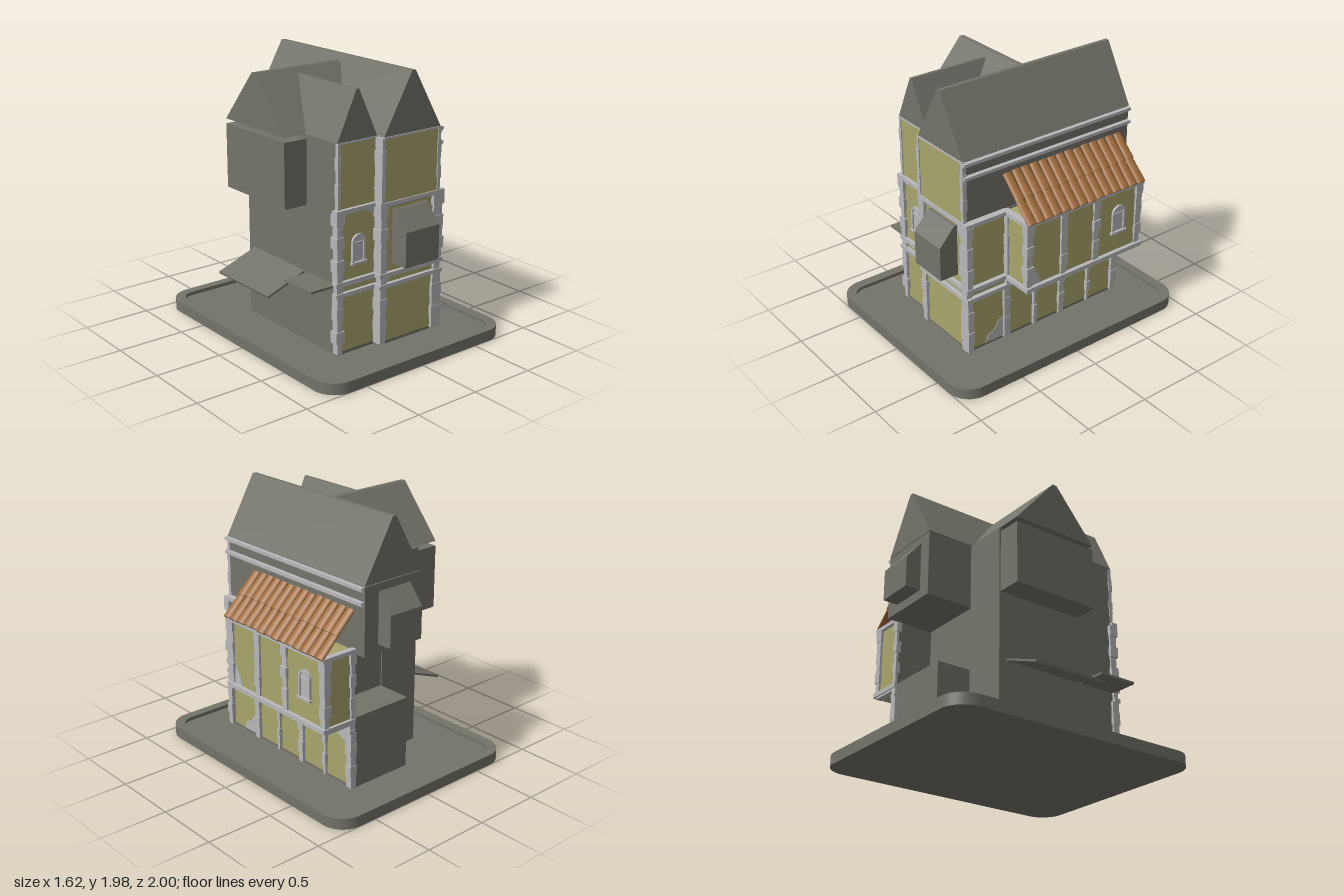
import * as THREE from 'three';

const mat = (name, color) => { const m = new THREE.MeshStandardMaterial({ color }); m.name = name; return m; };

export function createModel() {
  const stone = mat('dark stone', 0x74736a);
  const plaster = mat('plaster', 0xa9a56c);
  const trim = mat('pale trim', 0xb8b8ba);
  const tile = mat('clay tile', 0xa06c3c);
  const root = new THREE.Group();

  let seed = 7;
  const jitter = (a) => { seed = (seed * 16807) % 2147483647; return (seed / 2147483647 - 0.5) * 2 * a; };

  const add = (name, geo, m, parent = root) => {
    const mesh = new THREE.Mesh(geo, m);
    mesh.name = name;
    parent.add(mesh);
    return mesh;
  };
  // Box given by its limits on each axis
  const box = (name, m, x0, x1, y0, y1, z0, z1, parent = root) => {
    const mesh = add(name, new THREE.BoxGeometry(x1 - x0, y1 - y0, z1 - z0), m, parent);
    mesh.position.set((x0 + x1) / 2, (y0 + y1) / 2, (z0 + z1) / 2);
    return mesh;
  };
  const polygon = (pts) => new THREE.Shape(pts.map(([u, v]) => new THREE.Vector2(u, v)));
  const extrude = (shape, depth, curveSegments = 8) =>
    new THREE.ExtrudeGeometry(shape, { depth, bevelEnabled: false, curveSegments });
  // Profile in (x, y) swept along z, and profile in (z, y) swept along x
  const prismZ = (name, m, pts, z0, z1) => add(name, extrude(polygon(pts), z1 - z0).translate(0, 0, z0), m);
  const prismX = (name, m, pts, x0, x1) =>
    add(name, extrude(polygon(pts), x1 - x0).rotateY(-Math.PI / 2).translate(x1, 0, 0), m);

  // Base with a raised rim
  const rounded = (w, d, r, P = THREE.Shape) => {
    const s = new P();
    s.moveTo(-w + r, -d).lineTo(w - r, -d).absarc(w - r, -d + r, r, -Math.PI / 2, 0);
    s.lineTo(w, d - r).absarc(w - r, d - r, r, 0, Math.PI / 2);
    s.lineTo(-w + r, d).absarc(-w + r, d - r, r, Math.PI / 2, Math.PI);
    s.lineTo(-w, -d + r).absarc(-w + r, -d + r, r, Math.PI, Math.PI * 1.5);
    return s;
  };
  const rim = rounded(0.81, 1, 0.17);
  rim.holes.push(rounded(0.735, 0.93, 0.1, THREE.Path));
  add('baseFloor', extrude(rounded(0.81, 1, 0.17), 0.055).rotateX(-Math.PI / 2), stone);
  add('baseRim', extrude(rim, 0.027).rotateX(-Math.PI / 2).translate(0, 0.055, 0), stone);

  // Stone bodies
  box('mainHall', stone, -0.11, 0.41, 0.05, 1.1, -0.4, 0.66);
  box('rearGroundRoom', stone, -0.105, 0.41, 0.05, 0.59, -0.67, -0.4);
  box('mainUpperStorey', stone, -0.105, 0.4, 1.065, 1.555, -0.77, 0.68);
  box('leftWing', stone, -0.44, -0.105, 0.05, 1.555, -0.41, 0.608);
  box('crossWing', stone, -0.625, 0, 1.06, 1.525, -0.4, 0.28);

  // Gabled roofs with a narrow flat ridge
  const gable = (a, b, top, flat) => {
    const c = (a + b) / 2;
    return [[a, 1.56], [b, 1.56], [c + flat, top], [c - flat, top]];
  };
  prismZ('mainRoof', stone, gable(-0.105, 0.405, 1.98, 0.015), -0.77, 0.685);
  prismZ('leftWingRoof', stone, gable(-0.445, -0.105, 1.9, 0.011), -0.05, 0.615);
  prismX('crossRoof', stone, gable(-0.4, 0.28, 1.94, 0.017), -0.625, 0.1);

  // Projecting front and rear boxes with sloped tops
  prismX('frontOriel', stone, [[0.66, 0.65], [0.81, 0.65], [0.81, 0.905], [0.69, 1.04], [0.66, 1.04]], -0.005, 0.3);
  prismX('rearOriel', stone, [[-0.76, 1.13], [-0.885, 1.13], [-0.885, 1.36], [-0.77, 1.5], [-0.76, 1.5]], -0.005, 0.28);

  // Side awnings
  prismZ('slopedAwning', stone, [[-0.44, 0.56], [-0.44, 0.575], [-0.755, 0.458], [-0.75, 0.443]], -0.35, 0.25);
  box('flatAwning', stone, -0.655, -0.44, 0.56, 0.577, 0.3, 0.6);

  // Side bay
  box('sideBay', plaster, 0.405, 0.655, 0.565, 1.09, -0.67, 0.345);
  box('bayInnerWall', stone, 0.4, 0.405, 0.565, 1.09, -0.67, -0.4);

  // Plaster panels
  box('leftLowerPlaster', plaster, -0.43, -0.11, 0.08, 1.09, 0.605, 0.613);
  box('leftUpperPlaster', plaster, -0.43, -0.11, 1.09, 1.55, 0.605, 0.613);
  box('mainLowerPlaster', plaster, -0.1, 0.4, 0.08, 1.09, 0.659, 0.667);
  box('mainUpperPlaster', plaster, -0.1, 0.39, 1.09, 1.55, 0.677, 0.685);
  box('sideGroundPlaster', plaster, 0.408, 0.416, 0.08, 0.57, -0.665, 0.655);
  box('sideMiddlePlaster', plaster, 0.408, 0.416, 0.57, 1.09, 0.34, 0.655);

  // Posts of uneven stacked stones
  const post = (name, x0, x1, y0, y1, z0, z1, wobble = 0.008) => {
    const g = new THREE.Group();
    g.name = name;
    root.add(g);
    const n = Math.max(1, Math.round((y1 - y0) / 0.085));
    for (let i = 0; i < n; i++) {
      const e = (i % 2 ? 0.5 : -0.5) * wobble + jitter(wobble * 0.5), h = (y1 - y0) / n;
      box('postStone', trim, x0 - e, x1 + e, y0 + i * h, y0 + (i + 1) * h, z0 - e * 0.6, z1 + e * 0.6, g);
    }
  };
  for (const [y0, y1] of [[0.07, 0.49], [0.59, 1.08]]) {
    post('leftCornerPost', -0.46, -0.405, y0, y1, 0.575, 0.635);
    post('middlePost', -0.122, -0.068, y0, y1, 0.6, 0.688);
    post('rightCornerPost', 0.36, 0.447, y0, y1, 0.643, 0.69);
  }
  post('upperLeftPost', -0.445, -0.418, 1.1, 1.555, 0.59, 0.622, 0.004);
  post('upperMiddlePost', -0.122, -0.094, 1.1, 1.555, 0.6, 0.692, 0.004);
  post('upperRightPost', 0.382, 0.412, 1.1, 1.555, 0.66, 0.692, 0.004);
  for (const [z, w] of [[0.345, 0.026], [0.093, 0.013], [-0.155, 0.024], [-0.41, 0.012], [-0.663, 0.026]])
    post('sideGroundPost', 0.39, 0.44, 0.07, 0.49, z - w, z + w, 0.006);
  for (const z of [0.33, 0.03, -0.265, -0.66])
    post('bayPost', 0.62, 0.672, 0.59, 1.08, z - 0.027, z + 0.027, 0.007);
  post('bayInnerFrontPost', 0.41, 0.455, 0.59, 1.08, 0.325, 0.357, 0.006);
  post('bayInnerRearPost', 0.398, 0.44, 0.59, 1.08, -0.688, -0.655, 0.006);

  // Horizontal beams
  for (const [y0, y1] of [[0.488, 0.517], [0.565, 0.597], [1.075, 1.105]]) {
    box('leftFrontBeam', trim, -0.468, -0.1, y0, y1, 0.59, 0.64);
    box('mainFrontBeam', trim, -0.135, 0.45, y0, y1, 0.64, 0.695);
    box('mainSideBeam', trim, 0.4, 0.45, y0, y1, y0 < 0.5 ? -0.69 : 0.34, 0.69);
    if (y0 < 0.5) continue;
    box('baySideBeam', trim, 0.625, 0.685, y0, y1, -0.692, 0.368);
    box('bayFrontBeam', trim, 0.41, 0.68, y0, y1, 0.32, 0.368);
    box('bayRearBeam', trim, 0.4, 0.68, y0, y1, -0.692, -0.65);
  }
  for (const z of [0.33, 0.03, -0.265, -0.66]) {
    box('bayJoist', trim, 0.4, 0.66, 0.55, 0.58, z - 0.022, z + 0.022);
    box('joistBlock', trim, 0.4, 0.445, 0.517, 0.565, z - 0.025, z + 0.025);
  }
  for (const x of [-0.432, -0.095, 0.4])
    box('frontBeamBlock', trim, x - 0.025, x + 0.03, 0.517, 0.565, x < -0.4 ? 0.59 : 0.64, x < -0.4 ? 0.63 : 0.688);
  box('leftTopBand', trim, -0.44, -0.1, 1.548, 1.56, 0.6, 0.62);
  box('mainTopBand', trim, -0.105, 0.41, 1.548, 1.56, 0.67, 0.692);

  // Eave mouldings along the side
  for (const y of [1.42, 1.52]) {
    box('eaveMoulding', trim, 0.4, 0.432, y + 0.012, y + 0.032, -0.768, 0.69);
    box('eaveMouldingLip', trim, 0.4, 0.418, y, y + 0.012, -0.768, 0.69);
  }

  // Lean-to roof of rounded clay tiles, two courses per row
  const leanTo = new THREE.Group();
  leanTo.name = 'tileRoof';
  leanTo.position.set(0.552, 1.238, 0);
  leanTo.rotation.z = Math.atan2(0.28, 0.27);
  root.add(leanTo);
  for (let i = 0; i < 14; i++) {
    for (const s of [-1, 1]) {
      const t = add('roofTile', new THREE.CylinderGeometry(0.034, 0.038, 0.205, 12), tile, leanTo);
      t.scale.x = 0.5;
      t.position.set(s * 0.003, s * 0.093 + jitter(0.004), 0.332 - i * 0.0757);
      t.rotation.x = jitter(0.015);
    }
  }

  // Arched windows
  const arch = (w, h, P = THREE.Shape) => {
    const s = new P();
    s.moveTo(-w, 0).lineTo(w, 0).lineTo(w, h).absarc(0, h, w, 0, Math.PI).lineTo(-w, 0);
    return s;
  };
  const archWindow = (x, y, z, turn, k) => {
    const g = new THREE.Group();
    g.name = 'archedWindow';
    const frame = arch(0.058, 0.145);
    frame.holes.push(arch(0.042, 0.145, THREE.Path));
    add('windowFrame', extrude(frame, 0.018, 14), trim, g);
    add('windowPane', extrude(arch(0.044, 0.145), 0.006, 14), trim, g);
    box('windowBar', trim, -0.044, 0.044, 0.135, 0.147, 0, 0.014, g);
    box('windowSill', trim, -0.068, 0.068, -0.012, 0.004, 0, 0.026, g);
    g.position.set(x, y, z);
    g.rotation.y = turn;
    g.scale.set(k, k, 1);
    root.add(g);
  };
  archWindow(-0.265, 0.71, 0.612, 0, 0.98);
  archWindow(0.654, 0.755, -0.475, Math.PI / 2, 1.02);

  // Bare patches where plaster has fallen away
  const sidePatch = (x, pts) => prismX('barePatch', trim, pts, x, x + 0.004);
  const frontPatch = (z, pts) => prismZ('barePatch', trim, pts, z, z + 0.004);
  sidePatch(0.415, [[0.53, 0.08], [0.5, 0.14], [0.45, 0.16], [0.41, 0.22], [0.36, 0.25], [0.36, 0.08]]);
  sidePatch(0.415, [[-0.49, 0.49], [-0.53, 0.43], [-0.59, 0.41], [-0.645, 0.385], [-0.645, 0.49]]);
  sidePatch(0.654, [[0.31, 0.59], [0.31, 0.79], [0.27, 0.7], [0.24, 0.65], [0.22, 0.59]]);
  frontPatch(0.612, [[-0.41, 1.08], [-0.41, 1.0], [-0.385, 1.04], [-0.34, 1.08]]);
  frontPatch(0.612, [[-0.12, 1.08], [-0.12, 1.01], [-0.16, 1.04], [-0.2, 1.08]]);
  frontPatch(0.666, [[-0.05, 0.517], [-0.01, 0.565], [-0.07, 0.565], [-0.07, 0.517]]);
  return root;
}
